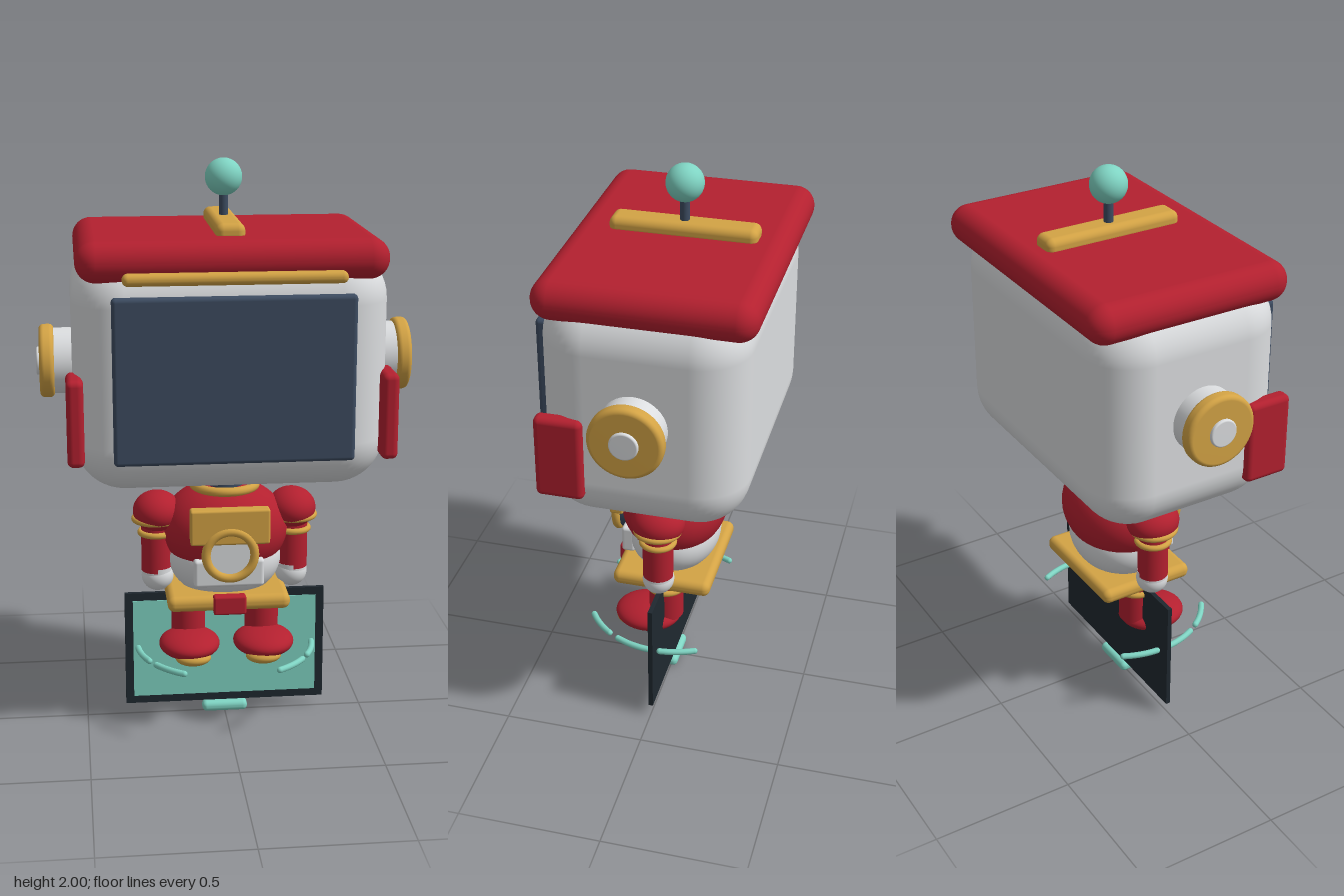
import * as THREE from 'three';
import { RoundedBoxGeometry } from 'three/addons/geometries/RoundedBoxGeometry.js';

const mat = (name, color) => {
  const m = new THREE.MeshStandardMaterial({ color });
  m.name = name;
  return m;
};

export function createModel() {
  const red = mat('red', 0xb3202f);
  const gold = mat('gold', 0xd3a345);
  const white = mat('white', 0xdbdddf);
  const slate = mat('slate', 0x3d4c61);
  const black = mat('black', 0x1f282f);
  const teal = mat('teal', 0x7fd4c3);

  const model = new THREE.Group();
  model.name = 'robot';

  const add = (name, geometry, material, x, y, z, parent = model) => {
    const mesh = new THREE.Mesh(geometry, material);
    mesh.name = name;
    mesh.position.set(x, y, z);
    parent.add(mesh);
    return mesh;
  };
  const box = (w, h, d, r) => new RoundedBoxGeometry(w, h, d, 6, r);
  const ball = (rx, ry, rz) => new THREE.SphereGeometry(1, 40, 28).scale(rx, ry, rz);
  const tube = (r, h) => new THREE.CylinderGeometry(r, r, h, 40);
  const ring = (r, t) => new THREE.TorusGeometry(r, t, 14, 48).rotateX(Math.PI / 2);
  // Disc along x with a rounded rim
  const disc = (r, w, b) => {
    const pts = [new THREE.Vector2(0, -w / 2)];
    for (let i = 0; i <= 6; i++) {
      const a = -Math.PI / 2 + (i / 6) * (Math.PI / 2);
      pts.push(new THREE.Vector2(r - b + b * Math.cos(a), -w / 2 + b + b * Math.sin(a)));
    }
    for (let i = 0; i <= 6; i++) {
      const a = (i / 6) * (Math.PI / 2);
      pts.push(new THREE.Vector2(r - b + b * Math.cos(a), w / 2 - b + b * Math.sin(a)));
    }
    pts.push(new THREE.Vector2(0, w / 2));
    return new THREE.LatheGeometry(pts, 48).rotateZ(-Math.PI / 2);
  };

  // Head
  add('head', box(1.05, 0.805, 0.68, 0.17), white, 0, 1.3225, -0.005);
  add('cap', box(1.02, 0.135, 0.725, 0.066), red, 0, 1.703, -0.017);
  add('capRidge', box(0.097, 0.06, 0.495, 0.025), gold, 0, 1.78, -0.033);
  add('browBar', box(0.725, 0.04, 0.05, 0.019), gold, 0, 1.655, 0.35);
  add('screen', box(0.795, 0.555, 0.05, 0.014), slate, 0, 1.318, 0.331);
  add('antennaRod', tube(0.016, 0.14), slate, 0, 1.84, -0.032);
  add('antennaBall', ball(0.063, 0.063, 0.063), teal, 0, 1.937, -0.032);

  // Neck and body
  add('neck', tube(0.075, 0.14), slate, 0, 0.88, 0);
  add('collar', ring(0.109, 0.016), gold, 0, 0.868, 0);
  add('chest', ball(0.225, 0.175, 0.19), red, 0, 0.712, 0);
  add('belly', ball(0.2, 0.15, 0.166), white, 0, 0.6, 0);
  add('chestPlate', box(0.275, 0.125, 0.05, 0.008), gold, 0, 0.77, 0.183);
  add('bellyPlate', box(0.245, 0.1, 0.05, 0.012), white, 0, 0.59, 0.145);
  add('lensHousing', tube(0.088, 0.04).rotateX(Math.PI / 2), slate, 0, 0.67, 0.172);
  add('lens', tube(0.075, 0.04).rotateX(Math.PI / 2), white, 0, 0.67, 0.182);
  add('lensRing', ring(0.084, 0.016).rotateX(Math.PI / 2), gold, 0, 0.67, 0.2);
  add('belt', box(0.43, 0.056, 0.355, 0.025), gold, 0, 0.48, 0.002);
  add('buckle', box(0.114, 0.068, 0.04, 0.008), red, 0, 0.48, 0.176);

  // Paired parts
  for (const s of [1, -1]) {
    const side = new THREE.Group();
    side.name = s > 0 ? 'leftSide' : 'rightSide';
    model.add(side);
    const put = (name, g, m, x, y, z) => add(name, g, m, s * x, y, z, side);

    put('earBase', disc(0.112, 0.15, 0.008), white, 0.525, 1.325, 0);
    put('earDisc', disc(0.125, 0.05, 0.016), gold, 0.609, 1.325, 0);
    put('earCap', disc(0.048, 0.05, 0.006), white, 0.62, 1.325, 0);
    put('cheekFlap', box(0.057, 0.292, 0.162, 0.02), red, 0.52, 1.178, 0.248);

    put('shoulder', ball(0.085, 0.072, 0.095), red, 0.24, 0.775, 0);
    put('shoulderRing', ring(0.076, 0.011), gold, 0.244, 0.748, 0);
    put('arm', tube(0.054, 0.19), red, 0.243, 0.65, 0);
    put('armRing', ring(0.056, 0.011), gold, 0.243, 0.697, 0);
    put('hand', ball(0.057, 0.056, 0.056), white, 0.24, 0.535, 0);
    put('wrist', tube(0.054, 0.03), white, 0.242, 0.555, 0);

    put('leg', tube(0.062, 0.16), red, 0.132, 0.385, 0);
    put('legRing', ring(0.062, 0.012), gold, 0.132, 0.431, 0);
    put('foot', ball(0.108, 0.048, 0.12), red, 0.133, 0.297, 0.067);
    put('toe', ball(0.063, 0.027, 0.05), gold, 0.125, 0.268, 0.137);
    put('sole', ball(0.055, 0.012, 0.06), white, 0.128, 0.248, 0.06);

    // Dashed ring floating around the feet
    for (const start of [32, 63, 94]) {
      const pts = [0, 6, 12, 18, 23].map((d) => {
        const a = THREE.MathUtils.degToRad(start + d);
        return new THREE.Vector3(s * 0.315 * Math.sin(a), 0, 0.315 * Math.cos(a));
      });
      const curve = new THREE.CatmullRomCurve3(pts);
      put('hoverDash', new THREE.TubeGeometry(curve, 16, 0.011, 10), teal, 0, 0.264, 0);
      for (const p of [pts[0], pts[4]])
        add('hoverDashEnd', new THREE.SphereGeometry(0.011, 10, 8), teal, p.x, 0.264, p.z, side);
    }
  }

  // Panel between the legs
  add('panelFrame', new THREE.BoxGeometry(0.72, 0.425, 0.016), black, 0, 0.255, 0);
  add('panelFace', new THREE.BoxGeometry(0.662, 0.368, 0.004), teal, 0, 0.255, 0.0085);
  add('panelFoot', box(0.164, 0.038, 0.05, 0.017), teal, 0, 0.019, 0);

  return model;
}
